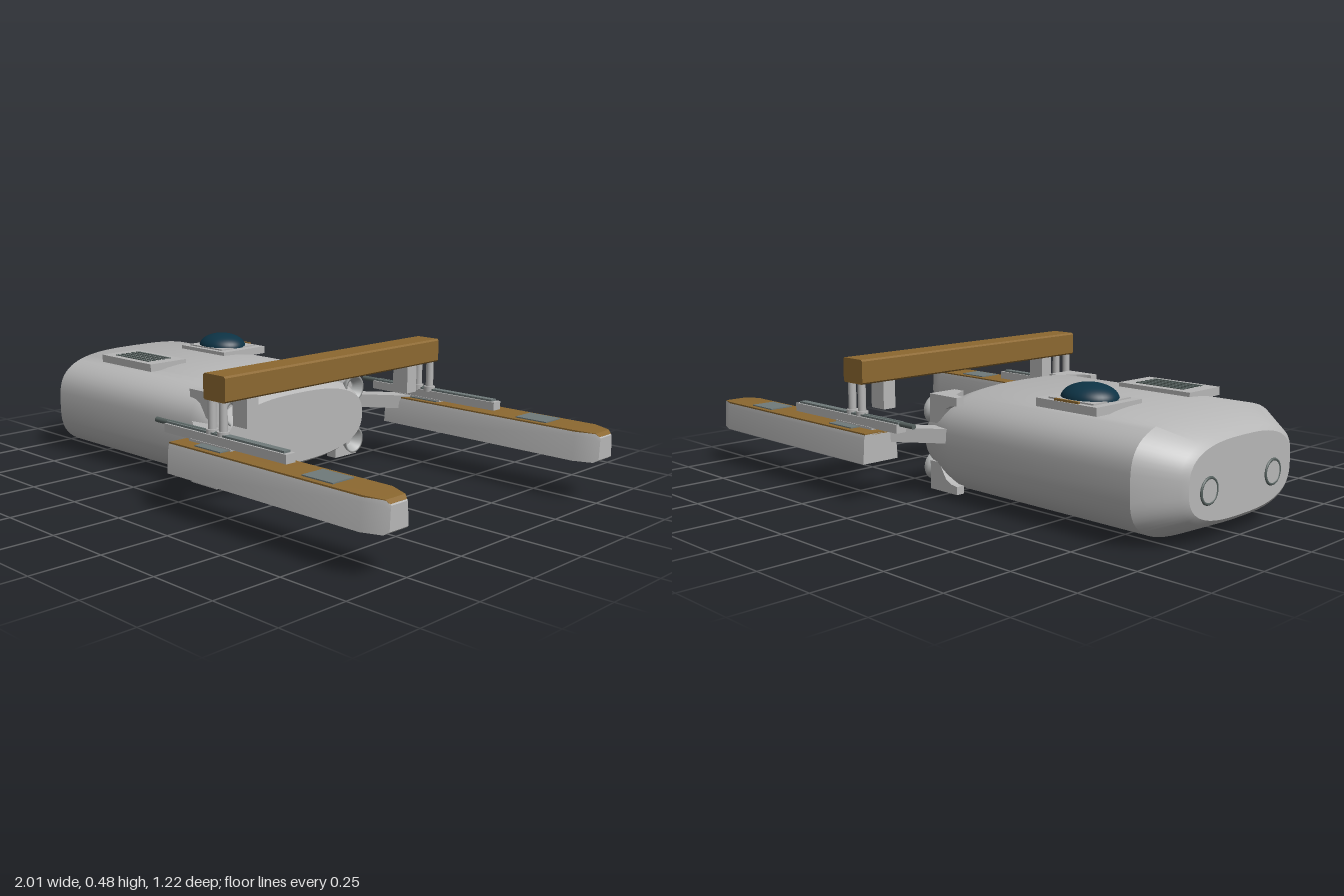
import * as THREE from 'three';
import { toCreasedNormals } from 'three/addons/utils/BufferGeometryUtils.js';

const mat = (name, color, extra = {}) => Object.assign(new THREE.MeshStandardMaterial({ color, ...extra }), { name });

// Skin a list of equal-length sections (running along +x) and cap both ends
function loft(sections, crease = 0.5) {
  const n = sections[0].length, pos = sections.flat(2), idx = [];
  for (let i = 0; i < sections.length - 1; i++) {
    for (let j = 0; j < n; j++) {
      const a = i * n + j, b = i * n + (j + 1) % n;
      idx.push(a, b, a + n, b, b + n, a + n);
    }
  }
  const last = (sections.length - 1) * n;
  for (let j = 1; j < n - 1; j++) {
    idx.push(0, j + 1, j, last, last + j, last + j + 1);
  }
  const g = new THREE.BufferGeometry();
  g.setAttribute('position', new THREE.Float32BufferAttribute(pos, 3));
  g.setIndex(idx);
  return toCreasedNormals(g, crease);
}

// Sections, counter-clockwise as seen from +x
const rect = (x, y0, y1, z0, z1) => [[x, y0, z1], [x, y0, z0], [x, y1, z0], [x, y1, z1]];
function superellipse(x, cy, ry, rz, p, n = 64) {
  const f = (v) => Math.sign(v) * Math.abs(v) ** (2 / p);
  return Array.from({ length: n }, (_, i) => {
    const t = (i / n) * Math.PI * 2;
    return [x, cy + ry * f(Math.sin(t)), -rz * f(Math.cos(t))];
  });
}

export function createModel() {
  const root = new THREE.Group();
  root.name = 'shuttle';
  const hull = mat('hull grey', 0xb6b6b6);
  const nozzleGrey = mat('nozzle grey', 0xaeb0b0, { side: THREE.DoubleSide });
  const bronze = mat('bronze', 0x8c6830);
  const glass = mat('dark teal', 0x0d3345);
  const slate = mat('slate', 0x6f7a7a);
  const dark = mat('dark grey green', 0x56615f);

  const add = (name, geo, m, x = 0, y = 0, z = 0, parent = root) => {
    const mesh = new THREE.Mesh(geo, m);
    mesh.name = name;
    mesh.position.set(x, y, z);
    parent.add(mesh);
    return mesh;
  };
  const box = (name, m, x0, x1, y0, y1, z0, z1) =>
    add(name, new THREE.BoxGeometry(x1 - x0, y1 - y0, z1 - z0), m, (x0 + x1) / 2, (y0 + y1) / 2, (z0 + z1) / 2);

  // Main body with bevelled ends
  add('body', loft([
    superellipse(-1, 0.19, 0.125, 0.27, 2.8),
    superellipse(-0.985, 0.19, 0.14, 0.295, 2.9),
    superellipse(-0.87, 0.19, 0.19, 0.38, 3.2),
    superellipse(-0.08, 0.19, 0.19, 0.38, 3.2),
    superellipse(-0.01, 0.19, 0.168, 0.37, 3.0),
    superellipse(0.06, 0.19, 0.14, 0.35, 2.7),
    superellipse(0.08, 0.19, 0.128, 0.34, 2.6),
  ]), hull);

  // Round ports on the end face
  for (const s of [-1, 1]) {
    const ring = add('portRing', new THREE.TorusGeometry(0.04, 0.005, 8, 32), dark, -1, 0.17, s * 0.17);
    ring.rotation.y = Math.PI / 2;
    const port = add('portCover', new THREE.CylinderGeometry(0.038, 0.038, 0.006, 32), hull, -1, 0.17, s * 0.17);
    port.rotation.z = Math.PI / 2;
  }

  // Roof hatch with dome
  box('hatchPlate', hull, -0.67, -0.415, 0.365, 0.393, -0.3, -0.08);
  box('hatchInset', hull, -0.64, -0.45, 0.393, 0.398, -0.28, -0.1);
  box('hatchHinge', bronze, -0.59, -0.49, 0.392, 0.4, -0.296, -0.286);
  const dome = add('dome', new THREE.SphereGeometry(1, 40, 16, 0, Math.PI * 2, 0, Math.PI / 2), glass, -0.545, 0.395, -0.188);
  dome.scale.set(0.1, 0.05, 0.086);

  // Roof vent with slats
  box('ventPlate', hull, -0.71, -0.41, 0.365, 0.393, 0.117, 0.285);
  for (let i = 0; i < 5; i++) {
    const z = 0.155 + i * 0.024;
    box('ventSlat', dark, -0.66, -0.46, 0.39, 0.396, z - 0.006, z + 0.006);
  }

  // Corner thrusters: flared blocks with a bell nozzle
  const flare = [[-0.1, 0.028], [-0.07, 0.032], [-0.045, 0.045], [-0.025, 0.075], [-0.01, 0.1], [0.035, 0.1]];
  for (const sy of [-1, 1]) {
    for (const sz of [-1, 1]) {
      const span = (c, s, outer, size) => [c + s * outer, c + s * (outer - size)].sort((a, b) => a - b);
      add('thruster', loft(flare.map(([x, d]) =>
        rect(x, ...span(0.19, sy, 0.168, d), ...span(0, sz, 0.358, d * 1.15)))), hull);
      const bell = add('thrusterNozzle', new THREE.LatheGeometry(
        [[0.025, 0], [0.034, 0.015], [0.044, 0.03], [0.05, 0.045], [0.042, 0.045], [0.025, 0.015]]
          .map(([r, y]) => new THREE.Vector2(r, y)), 28), nozzleGrey, 0.03, 0.19 + sy * 0.1, sz * 0.302);
      bell.rotation.z = -Math.PI / 2;
    }
  }

  // Outrigger pods, arms and rails on both sides
  const podSection = (x, w, y0, y1) => [
    [x, y0, w], [x, y0, -w], [x, y1 - 0.014, -w * 0.92], [x, y1, -w * 0.86], [x, y1, w * 0.86], [x, y1 - 0.014, w * 0.92],
  ];
  const pod = loft([
    podSection(0.085, 0.074, 0.14, 0.24),
    podSection(0.92, 0.074, 0.14, 0.24),
    podSection(0.985, 0.049, 0.14, 0.238),
    podSection(1, 0.04, 0.15, 0.225),
  ]);
  const podTop = loft([
    rect(0.085, 0.236, 0.244, -0.064, 0.064),
    rect(0.92, 0.236, 0.244, -0.064, 0.064),
    rect(0.985, 0.234, 0.24, -0.042, 0.042),
    rect(0.996, 0.222, 0.229, -0.036, 0.036),
  ]);
  for (const s of [-1, 1]) {
    const z = s * 0.538, rz = s * 0.524;
    add('pod', pod, hull, 0, 0, z);
    add('podTop', podTop, bronze, 0, 0, z);
    for (const x of [0.25, 0.73]) {
      box('podWindow', slate, x - 0.062, x + 0.062, 0.242, 0.248, z - 0.045, z + 0.045);
    }

    // Angled arm between body and pod
    const a = new THREE.Vector3(-0.06, 0.225, s * 0.345), b = new THREE.Vector3(0.17, 0.225, s * 0.52);
    const arm = add('arm', new THREE.BoxGeometry(a.distanceTo(b), 0.05, 0.06), hull);
    arm.position.copy(a).lerp(b, 0.5);
    arm.rotation.y = -Math.atan2(b.z - a.z, b.x - a.x);

    // Rail above the pod with a slim rod on top
    box('rail', hull, -0.01, 0.565, 0.25, 0.28, rz - 0.02, rz + 0.02);
    box('railFoot', hull, 0.12, 0.32, 0.24, 0.252, rz - 0.023, rz + 0.023);
    box('railTop', slate, -0.01, 0.55, 0.279, 0.287, rz - 0.013, rz + 0.013);
    const rod = add('railRod', new THREE.CylinderGeometry(0.009, 0.009, 0.35, 16), dark, 0.1, 0.28, rz);
    rod.rotation.z = Math.PI / 2;

    // Posts and hanging block that carry the crossbar
    for (const x of [0.204, 0.258]) {
      add('crossbarPost', new THREE.CylinderGeometry(0.014, 0.014, 0.11, 16), hull, x, 0.34, s * 0.52);
      add('postCollar', new THREE.CylinderGeometry(0.021, 0.021, 0.02, 16), hull, x, 0.285, s * 0.52);
    }
    box('crossbarBlock', hull, 0.2, 0.268, 0.288, 0.392, s * 0.402 - 0.026, s * 0.402 + 0.026);
  }

  // Crossbar spanning both pods, with bevelled edges
  const half = new THREE.Shape();
  [[-0.052, -0.037], [-0.046, -0.043], [0.046, -0.043], [0.052, -0.037], [0.052, 0.037], [0.046, 0.043], [-0.046, 0.043], [-0.052, 0.037]]
    .forEach(([x, y], i) => (i ? half.lineTo(x, y) : half.moveTo(x, y)));
  add('crossbar', new THREE.ExtrudeGeometry(half, { depth: 1.07, bevelEnabled: false }), bronze, 0.232, 0.433, -0.535);

  return root;
}
